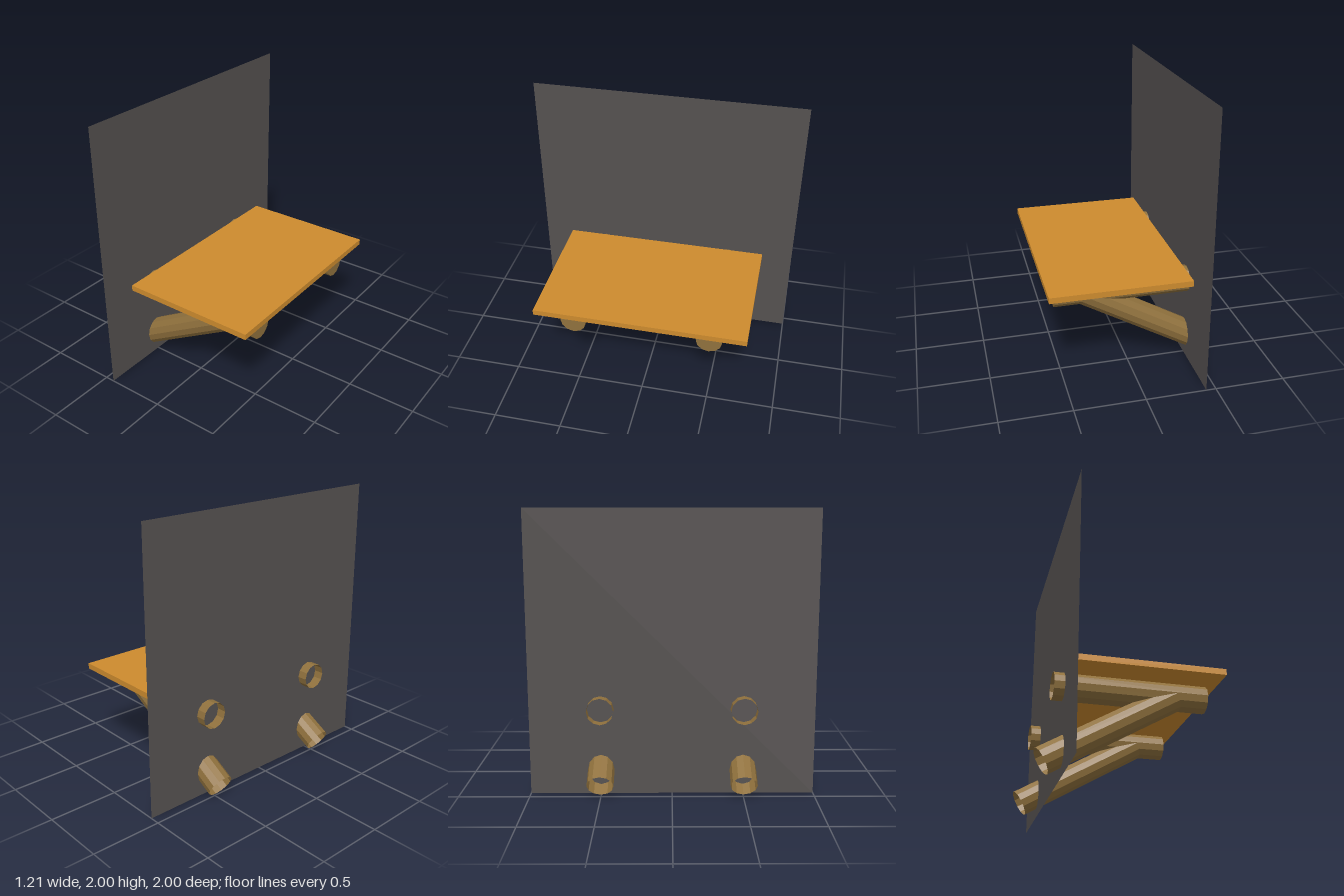
import * as THREE from 'three';

const paint = (name, color, side = THREE.FrontSide, flatShading = false) => {
  const m = new THREE.MeshStandardMaterial({ color, side, flatShading });
  m.name = name;
  return m;
};

export function createModel() {
  const model = new THREE.Group();
  model.name = 'wallShelf';
  const wallGrey = paint('wall grey', 0x555150, THREE.DoubleSide);
  const plankOrange = paint('plank orange', 0xcd8b2e);
  const logBrown = paint('log brown', 0x90713d, THREE.DoubleSide, true);

  const add = (name, geometry, material, x, y, z) => {
    const mesh = new THREE.Mesh(geometry, material);
    mesh.name = name;
    mesh.position.set(x, y, z);
    model.add(mesh);
    return mesh;
  };

  // Thin wall panel facing +x
  add('wall', new THREE.PlaneGeometry(2, 2), wallGrey, -0.43, 1, 0).rotation.y = Math.PI / 2;

  // Shelf plank
  add('shelf', new THREE.BoxGeometry(0.995, 0.042, 1.546), plankOrange, 0.1075, 0.714, 0);

  // Twelve-sided log, open at the wall end and capped at the outer end
  const radius = 0.094;
  const addLog = (name, [x0, y0], [x1, y1], z) => {
    const length = Math.hypot(x1 - x0, y1 - y0);
    const log = new THREE.Group();
    log.name = name;
    const side = new THREE.Mesh(new THREE.CylinderGeometry(radius, radius, length, 12, 1, true), logBrown);
    side.name = name + 'Side';
    const cap = new THREE.Mesh(new THREE.CircleGeometry(radius, 12), logBrown);
    cap.name = name + 'End';
    cap.rotation.x = -Math.PI / 2;
    cap.position.y = length / 2;
    log.add(side, cap);
    log.position.set((x0 + x1) / 2, (y0 + y1) / 2, z);
    log.rotation.z = Math.atan2(y1 - y0, x1 - x0) - Math.PI / 2;
    model.add(log);
  };

  // Level beam and slanted brace on each side
  for (const z of [-0.5, 0.5]) {
    addLog('beam', [-0.502, 0.616], [0.538, 0.616], z);
    addLog('brace', [-0.558, 0.101], [0.32, 0.608], z);
  }
  return model;
}
